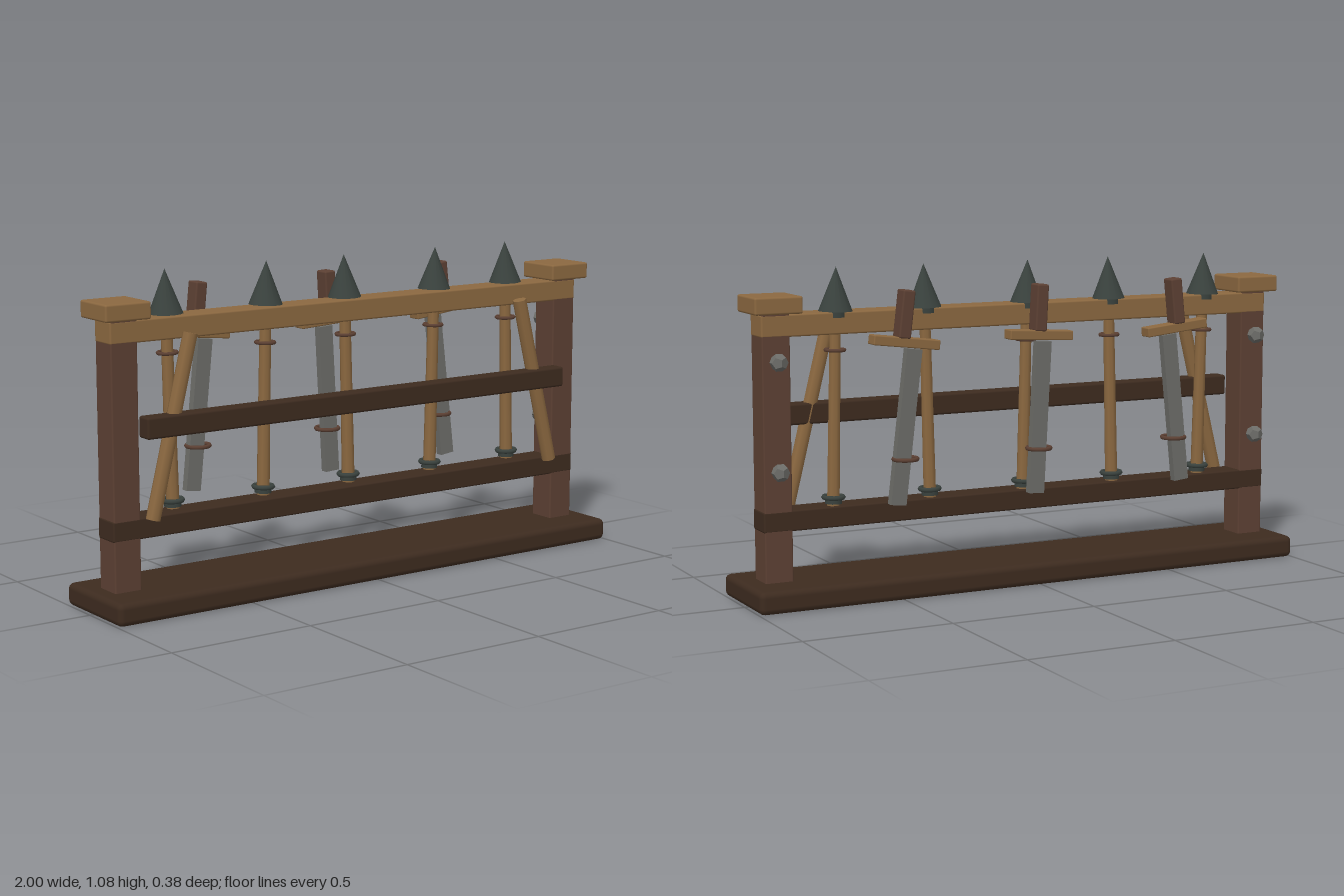
import * as THREE from 'three';
import { RoundedBoxGeometry } from 'three/addons/geometries/RoundedBoxGeometry.js';

const mat = (name, color, flatShading = false) => {
  const m = new THREE.MeshStandardMaterial({ color, flatShading });
  m.name = name;
  return m;
};

export function createModel() {
  const root = new THREE.Group();
  root.name = 'weaponRack';
  const darkWood = mat('darkWood', 0x3d2b1f);
  const midWood = mat('midWood', 0x5c4033);
  const lightWood = mat('lightWood', 0x8b6840);
  const iron = mat('darkIron', 0x3a423e);
  const steel = mat('steel', 0x6c6c68, true);

  const add = (parent, name, geometry, material, x, y, z, rotZ = 0) => {
    const mesh = new THREE.Mesh(geometry, material);
    mesh.name = name;
    mesh.position.set(x, y, z);
    mesh.rotation.z = rotZ;
    parent.add(mesh);
    return mesh;
  };
  const rounded = (w, h, d, r) => new RoundedBoxGeometry(w, h, d, 2, r);
  const ring = (parent, name, radius, tube, material, x, y, z) => {
    const m = add(parent, name, new THREE.TorusGeometry(radius, tube, 6, 20), material, x, y, z);
    m.rotation.x = Math.PI / 2;
    return m;
  };

  // Frame: base plank, rails and top beam
  add(root, 'base', rounded(2, 0.075, 0.342, 0.02), darkWood, 0, 0.0375, 0.02);
  add(root, 'lowerRail', rounded(1.886, 0.068, 0.098, 0.006), darkWood, -0.004, 0.272, 0.02);
  add(root, 'middleRail', rounded(1.695, 0.07, 0.058, 0.008), darkWood, -0.003, 0.6, 0.097);
  add(root, 'topBeam', rounded(1.884, 0.072, 0.098, 0.006), lightWood, -0.004, 0.9, 0.02);

  // Posts with caps, back bolts and diagonal braces
  for (const side of [-1, 1]) {
    const x = side * 0.893 - 0.004;
    add(root, 'post', rounded(0.095, 0.88, 0.097, 0.005), midWood, x, 0.5, 0.02);
    add(root, 'postCap', rounded(0.162, 0.056, 0.162, 0.007), lightWood, x, 0.967, 0.02);
    for (const y of [0.435, 0.787]) {
      add(root, 'bolt', new THREE.DodecahedronGeometry(0.03), steel, x, y, -0.051);
    }
    add(root, 'brace', new THREE.CylinderGeometry(0.024, 0.024, 0.6, 8), lightWood,
      side * 0.742 - 0.003, 0.592, 0.091, side * 0.245);
  }

  // Spears standing through the rails, leaning alternately
  for (let i = 0; i < 5; i++) {
    const tilt = i % 2 ? -0.024 : 0.024;
    const spear = new THREE.Group();
    spear.name = 'spear';
    spear.position.set((i - 2) * 0.345, 0.3, 0);
    spear.rotation.z = tilt;
    root.add(spear);
    add(spear, 'spearShaft', new THREE.CylinderGeometry(0.019, 0.022, 0.64, 8), lightWood, 0, 0.32, 0);
    add(spear, 'spearHead', new THREE.ConeGeometry(0.056, 0.142, 14), iron, 0, 0.708, 0);
    add(spear, 'spearCollar', new THREE.CylinderGeometry(0.036, 0.036, 0.02, 12), iron, 0, 0.628, 0);
    ring(spear, 'shaftRing', 0.031, 0.006, midWood, 0, 0.512, 0);
    ring(spear, 'footRing', 0.032, 0.008, iron, 0, 0.033, 0);
    add(spear, 'footFerrule', new THREE.CylinderGeometry(0.028, 0.028, 0.02, 12), iron, 0, 0.022, 0);
  }

  // Swords hanging at the back
  for (const [x, tilt] of [[-0.505, -0.105], [0.014, 0.055], [0.498, 0.12]]) {
    const sword = new THREE.Group();
    sword.name = 'sword';
    sword.position.set(x, 0, -0.145);
    root.add(sword);
    add(sword, 'blade', new THREE.BoxGeometry(0.054, 0.505, 0.027), steel, 0, 0.568, 0, tilt);
    add(sword, 'guard', rounded(0.232, 0.032, 0.05, 0.004), lightWood, 0, 0.842, 0, tilt);
    add(sword, 'grip', rounded(0.042, 0.155, 0.055, 0.006), midWood, 0, 0.932, 0, tilt);
    ring(sword, 'bladeRing', 0.039, 0.007, midWood, 0, 0.465, 0);
  }
  return root;
}
